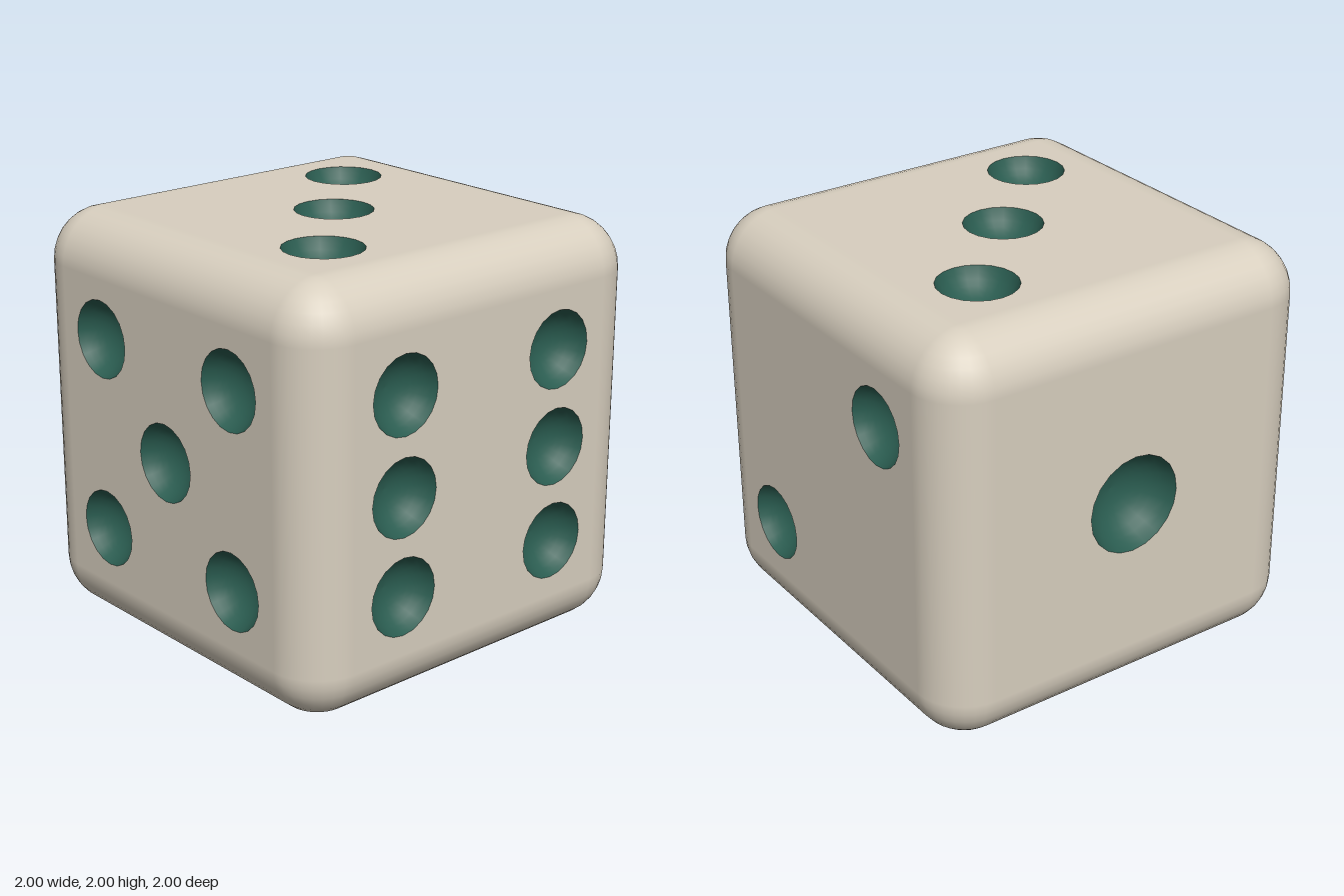
import * as THREE from 'three';
import { mergeGeometries } from 'three/addons/utils/BufferGeometryUtils.js';

const ROUND = 0.25;          // edge radius
const FLAT = 1 - ROUND;      // half size of the flat part of each face
const SIDES = 20;            // sides of each pip
const P = 0.467;             // pip spacing
const SLOPE = 1.25;          // bowl angle at the rim

const bone = new THREE.MeshStandardMaterial({ color: 0xd8cfbf });
bone.name = 'bone';
const green = new THREE.MeshStandardMaterial({ color: 0x2a5c50 });
green.name = 'dark green';

// Rounded edges and corners: quarter cylinders and sphere octants
function roundedFrame() {
  const parts = [];
  const edge = new THREE.CylinderGeometry(ROUND, ROUND, FLAT * 2, 8, 1, true, 0, Math.PI / 2);
  edge.translate(FLAT, 0, FLAT);
  const corner = new THREE.SphereGeometry(ROUND, 8, 8, Math.PI / 2, Math.PI / 2, 0, Math.PI / 2);
  corner.translate(FLAT, FLAT, FLAT);
  for (let i = 0; i < 4; i++) {
    const turned = edge.clone().rotateY(i * Math.PI / 2);
    parts.push(turned, turned.clone().rotateX(Math.PI / 2), turned.clone().rotateZ(Math.PI / 2));
    const top = corner.clone().rotateY(i * Math.PI / 2);
    parts.push(top, top.clone().rotateX(Math.PI));
  }
  return mergeGeometries(parts);
}

// Hollow spherical bowl opening towards +z
function bowl(r) {
  const R = r / Math.sin(SLOPE);
  const profile = [];
  for (let i = 0; i <= 8; i++) {
    const a = SLOPE * (1 - i / 8);
    profile.push(new THREE.Vector2(R * Math.sin(a), R * (Math.cos(SLOPE) - Math.cos(a))));
  }
  return new THREE.LatheGeometry(profile, SIDES).rotateX(Math.PI / 2);
}

// Flat face at z = 1 with a hole and a bowl for every pip
function makeFace(name, pips, r) {
  const face = new THREE.Group();
  face.name = name;
  const shape = new THREE.Shape([[-1, -1], [1, -1], [1, 1], [-1, 1]]
    .map(([x, y]) => new THREE.Vector2(x * FLAT, y * FLAT)));
  const bowlGeometry = bowl(r);
  for (const [x, y] of pips) {
    const rim = [];
    for (let i = 0; i < SIDES; i++) {
      const a = -i / SIDES * Math.PI * 2;
      rim.push(new THREE.Vector2(x * P + r * Math.cos(a), y * P + r * Math.sin(a)));
    }
    shape.holes.push(new THREE.Path(rim));
    const pip = new THREE.Mesh(bowlGeometry, green);
    pip.name = 'pip';
    pip.position.set(x * P, y * P, 1);
    face.add(pip);
  }
  const panel = new THREE.Mesh(new THREE.ShapeGeometry(shape), bone);
  panel.name = 'facePanel';
  panel.position.z = 1;
  face.add(panel);
  return face;
}

export function createModel() {
  const die = new THREE.Group();
  die.name = 'die';
  const frame = new THREE.Mesh(roundedFrame(), bone);
  frame.name = 'roundedEdges';
  die.add(frame);

  const two = [[1, 1], [-1, -1]];
  const four = [...two, [-1, 1], [1, -1]];
  const h = Math.PI / 2;
  // name, pips, pip radius, x turn, y turn
  const faces = [
    ['frontFace', [...four, [-1, 0], [1, 0]], 0.186, 0, 0],
    ['backFace', [[0, 0]], 0.24, 0, Math.PI],
    ['rightFace', two, 0.186, 0, h],
    ['leftFace', [...four, [0, 0]], 0.186, 0, -h],
    ['topFace', [...two, [0, 0]], 0.186, -h, 0],
    ['bottomFace', four, 0.186, h, 0],
  ];
  for (const [name, pips, r, rx, ry] of faces) {
    const face = makeFace(name, pips, r);
    face.rotation.set(rx, ry, 0);
    die.add(face);
  }

  die.position.y = 1;
  const model = new THREE.Group();
  model.name = 'dieModel';
  model.add(die);
  return model;
}
